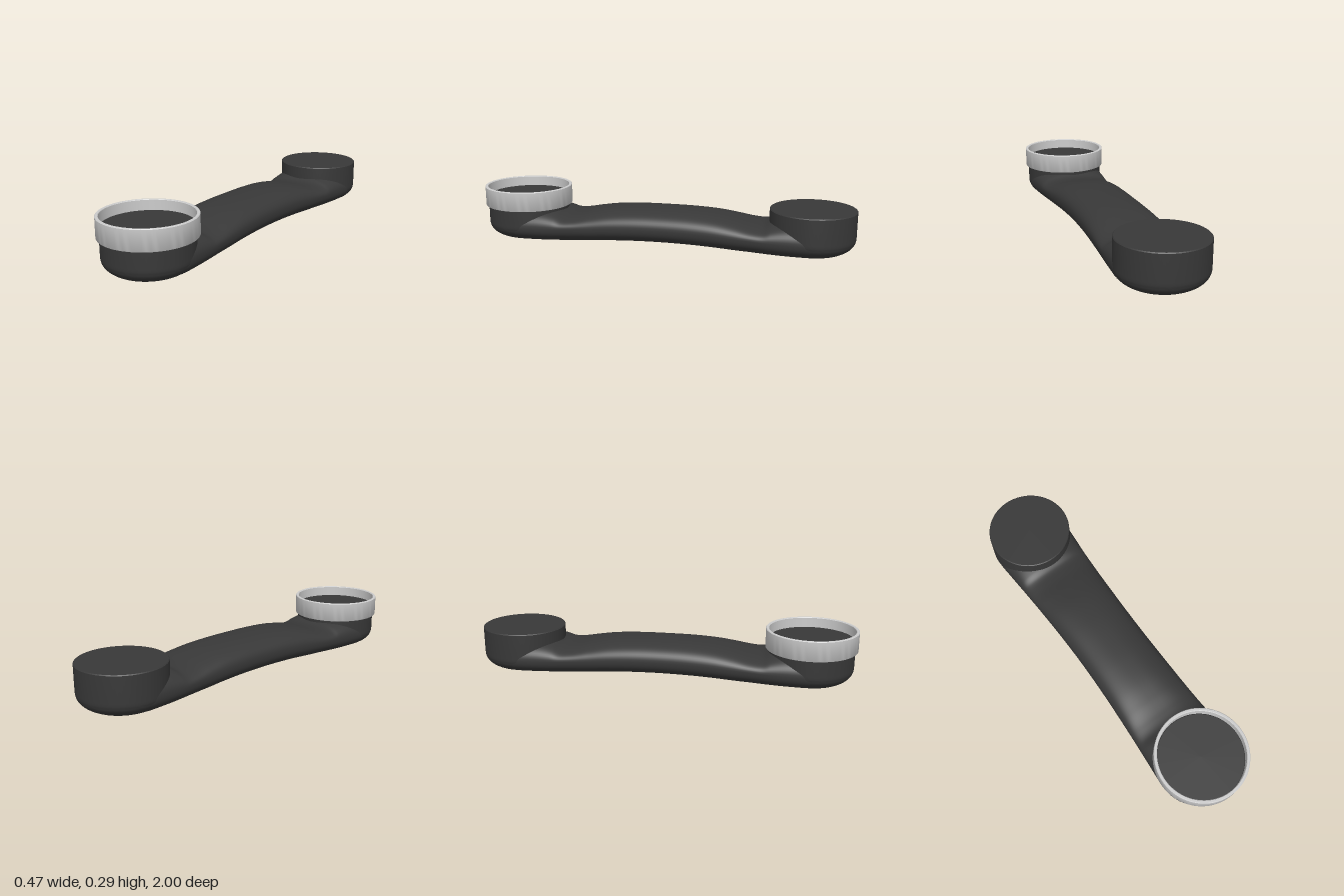
import * as THREE from 'three';
import { toCreasedNormals } from 'three/addons/utils/BufferGeometryUtils.js';
import { ParametricGeometry } from 'three/addons/geometries/ParametricGeometry.js';

const CUP_Z = 0.7725, CUP_R = 0.22, CUP_TOP = 0.235, SHOULDER = 0.1, ROUND = 2.4;

function lathe(points) {
  const profile = points.map(([r, y]) => new THREE.Vector2(r, y));
  return toCreasedNormals(new THREE.LatheGeometry(profile, 72), 0.6);
}

// Cup: rounded bowl bottom, straight wall, flat lid with a tiny bevel
function cupGeometry() {
  const points = [];
  for (let i = 0; i <= 20; i++) {
    const a = (i / 20) * Math.PI / 2;
    points.push([
      CUP_R * Math.sin(a) ** (2 / ROUND),
      SHOULDER * (1 - Math.cos(a) ** (2 / ROUND)),
    ]);
  }
  points[20] = [CUP_R, SHOULDER];
  points.push([CUP_R, CUP_TOP - 0.004], [CUP_R - 0.004, CUP_TOP], [0, CUP_TOP]);
  return lathe(points);
}

// Handle: rounded cross-sections swept along z; each point holds (z, underside, top)
function handleGeometry() {
  const half = [
    [0, 0.025, 0.204], [0.15, 0.023, 0.202], [0.28, 0.018, 0.193], [0.38, 0.012, 0.177],
    [0.47, 0.008, 0.159], [0.53, 0.005, 0.157], [0.575, 0.003, 0.174], [0.65, 0.001, 0.19],
    [CUP_Z, 0.001, 0.195],
  ];
  const mirrored = half.slice(1).reverse().map(([z, b, t]) => [-z, b, t]);
  const spine = new THREE.CatmullRomCurve3(
    [...mirrored, ...half].map((p) => new THREE.Vector3(...p)));
  const power = (s) => Math.sign(s) * Math.abs(s) ** (2 / ROUND);
  const p = new THREE.Vector3();

  return new ParametricGeometry((u, v, target) => {
    spine.getPoint(Math.min(Math.max(v, 0), 1), p);
    const z = p.x, bottom = p.y, top = p.z;
    const width = 0.184 + 0.034 * Math.min(1, Math.abs(z) / 0.74) ** 1.8;
    const middle = bottom + 0.09;
    const a = u * Math.PI * 2, s = Math.sin(a);
    const height = s > 0 ? top - middle : middle - bottom;
    target.set(width * power(Math.cos(a)), middle + height * power(s), z);
  }, 64, 110);
}

export function createModel() {
  const model = new THREE.Group();
  model.name = 'handset';
  const dark = new THREE.MeshStandardMaterial({ color: 0x383838 });
  const grey = new THREE.MeshStandardMaterial({ color: 0xcccccc });

  const add = (name, geometry, material, z = 0) => {
    const mesh = new THREE.Mesh(geometry, material);
    mesh.name = name;
    mesh.position.z = z - 0.0075;
    model.add(mesh);
  };

  add('handle', handleGeometry(), dark);
  const cup = cupGeometry();
  add('frontCup', cup, dark, CUP_Z);
  add('backCup', cup, dark, -CUP_Z);

  // Open collar standing proud of the front cup
  add('collarRing', lathe([
    [0.219, 0.185], [0.233, 0.185], [0.235, 0.188], [0.235, 0.285], [0.232, 0.288],
    [0.222, 0.288], [0.219, 0.285], [0.219, 0.185],
  ]), grey, CUP_Z);

  return model;
}
